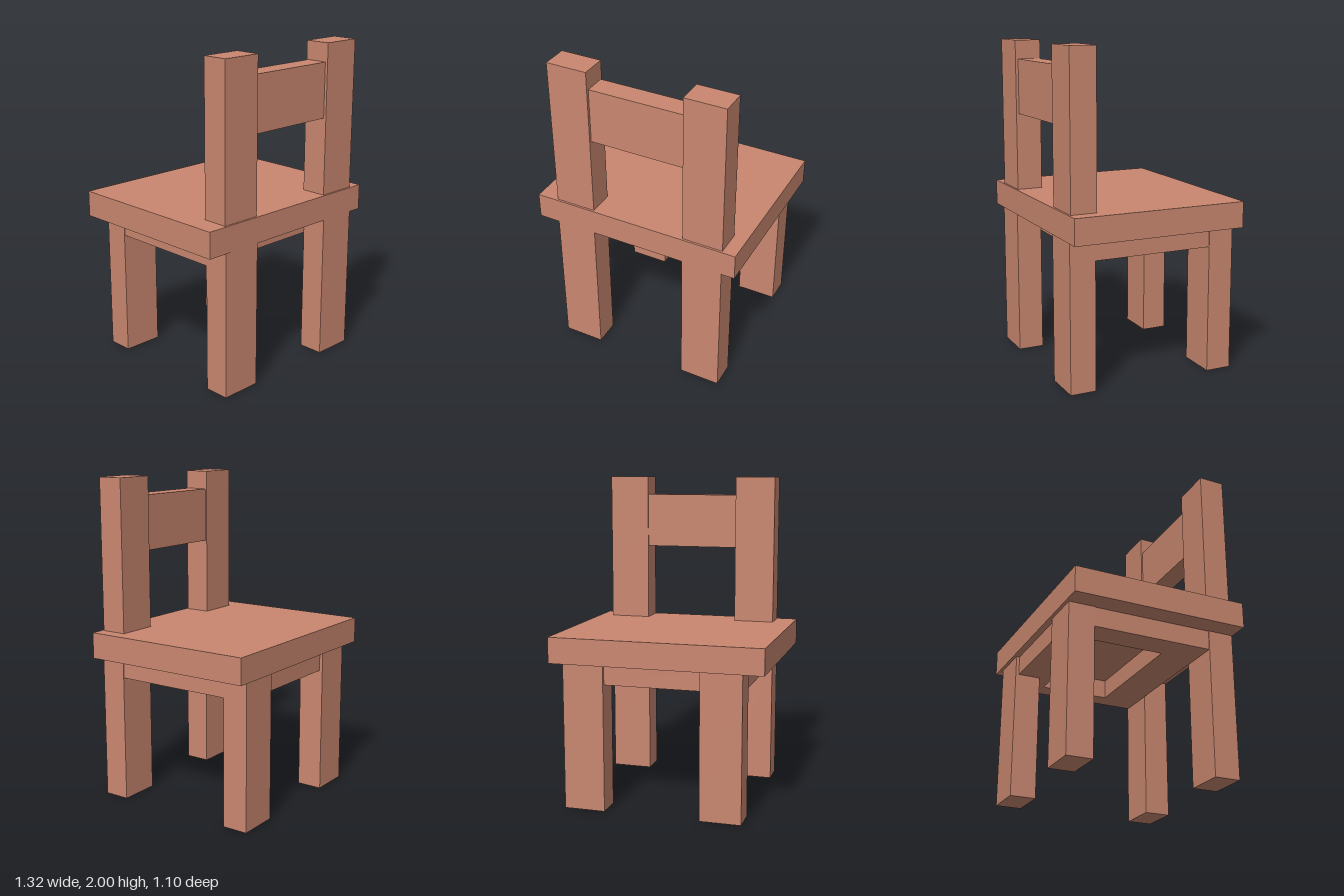
import * as THREE from 'three';

export function createModel() {
  const chair = new THREE.Group();
  chair.name = 'chair';
  const wood = new THREE.MeshStandardMaterial({ color: 0xc98770 });
  wood.name = 'terracotta wood';

  // Box given by its extents on each axis
  const board = (name, [x0, x1], [y0, y1], [z0, z1]) => {
    const mesh = new THREE.Mesh(new THREE.BoxGeometry(x1 - x0, y1 - y0, z1 - z0), wood);
    mesh.position.set((x0 + x1) / 2, (y0 + y1) / 2, (z0 + z1) / 2);
    mesh.name = name;
    chair.add(mesh);
  };

  const seatY = [0.905, 1.065];
  board('seat', [-0.66, 0.66], seatY, [-0.55, 0.545]);

  // Legs and back posts on each side
  const sides = { right: [-0.53, -0.275], left: [0.32, 0.575] };
  for (const [side, x] of Object.entries(sides)) {
    board(side + 'FrontLeg', x, [0, seatY[0]], [0.38, 0.54]);
    board(side + 'RearLeg', x, [0, seatY[0]], [-0.53, -0.37]);
    board(side + 'BackPost', x, [seatY[1], 2], [0.37, 0.532]);
  }

  // Backrest plank between the posts
  board('backrest', [-0.275, 0.32], [1.545, 1.885], [0.38, 0.515]);

  // Frame under the seat: cross rails between the side rails
  const railY = [0.785, seatY[0]];
  board('rightSideRail', [-0.525, -0.35], railY, [-0.37, 0.38]);
  board('leftSideRail', [0.45, 0.57], railY, [-0.37, 0.38]);
  board('rearCrossRail', [-0.35, 0.45], railY, [-0.51, -0.29]);
  board('frontCrossRail', [-0.35, 0.45], railY, [0.15, 0.38]);

  return chair;
}
